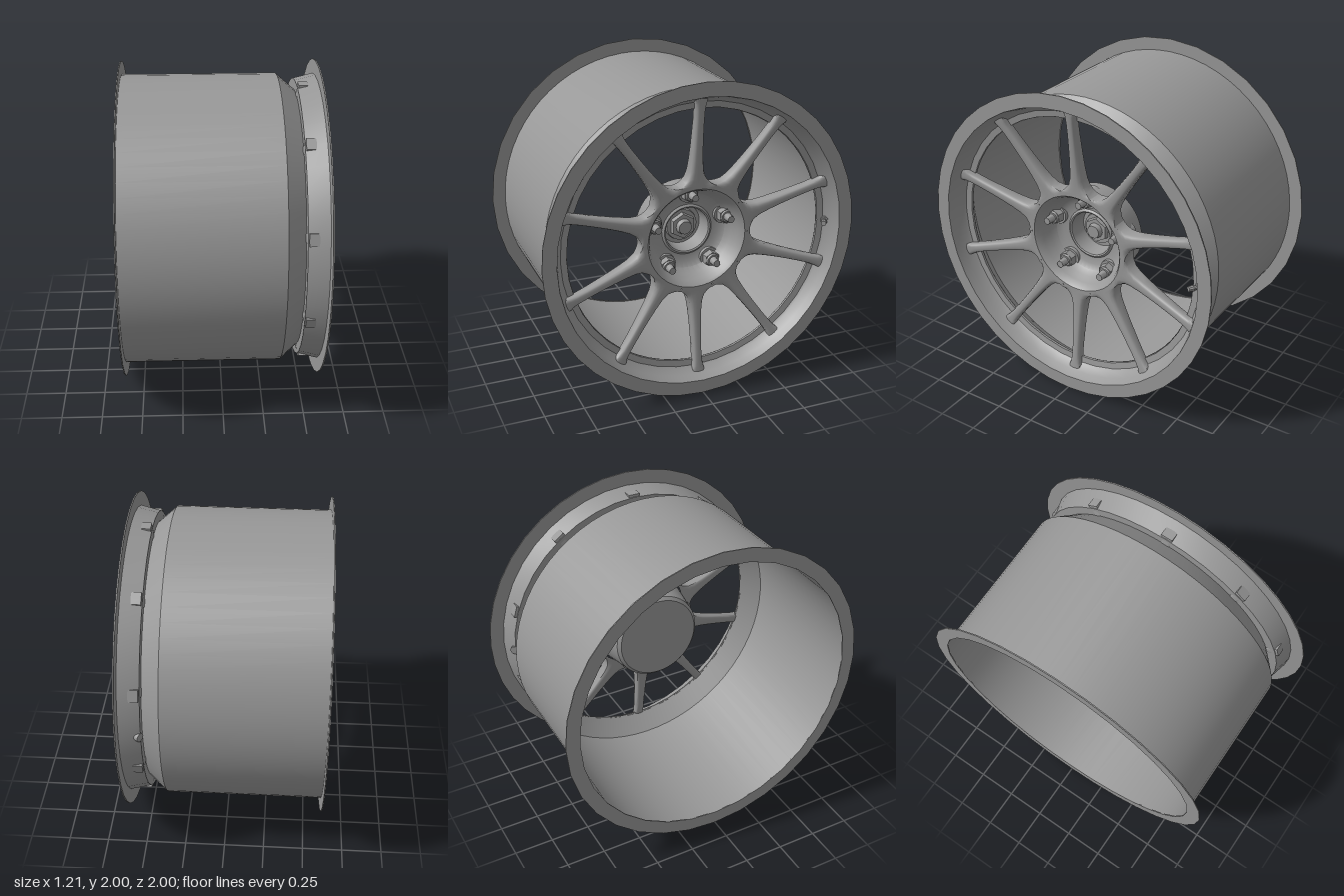
import * as THREE from 'three';
import { toCreasedNormals } from 'three/addons/utils/BufferGeometryUtils.js';

const metal = new THREE.MeshStandardMaterial({ color: 0x989898 });
const metalDouble = new THREE.MeshStandardMaterial({ color: 0x989898, side: THREE.DoubleSide });

// The wheel is built around the z axis (outer face towards +z), then turned to face +x.
function addMesh(parent, name, geometry, material = metal) {
  const mesh = new THREE.Mesh(geometry, material);
  mesh.name = name;
  parent.add(mesh);
  return mesh;
}

// Revolve [radius, z] pairs around the z axis
function revolve(profile, segments) {
  const g = new THREE.LatheGeometry(profile.map(([r, z]) => new THREE.Vector2(r, z)), segments);
  return toCreasedNormals(g.rotateX(Math.PI / 2), 0.5);
}

// Cylinder along z between two depths
function post(r0, r1, z0, z1, sides) {
  const g = new THREE.CylinderGeometry(r1, r0, z1 - z0, sides);
  return toCreasedNormals(g.rotateX(Math.PI / 2).translate(0, 0, (z0 + z1) / 2), 0.6);
}

// One spoke along +x with its tenth of the hub plate, lofted from rounded cross-sections
function spokeGeometry() {
  const stations = [ // distance along the spoke, half width, edge rounding
    [0.318, 0.1033, 0], [0.3348, 0.1088, 0], [0.3438, 0.0907, 0.008], [0.36, 0.075, 0.014],
    [0.385, 0.055, 0.018], [0.43, 0.042, 0.02], [0.5, 0.035, 0.02], [0.58, 0.031, 0.02],
    [0.66, 0.029, 0.02], [0.74, 0.028, 0.02], [0.81, 0.029, 0.018], [0.85, 0.032, 0.012],
    [0.87, 0.037, 0.008], [0.896, 0.038, 0.006], [0.896, 0, 0.006],
  ];
  const across = [-1, -0.8, -0.45, 0, 0.45, 0.8, 1];
  const drop = (u) => Math.abs(u) ** 6;
  const positions = [], index = [];
  for (const [r, h, round] of stations) {
    const put = (u, front) => {
      // Thick and sunken at the hub, thin and proud at the rim
      const t = (Math.hypot(r, u * h) - 0.32) / 0.56;
      const z = front
        ? 0.485 + 0.05 * Math.max(t, 0) ** 1.5 - round * drop(u)
        : 0.38 + 0.095 * t + 0.4 * round * drop(u);
      positions.push(r, u * h, z);
    };
    across.forEach((u) => put(u, true));
    across.forEach((u) => put(-u, false));
  }
  const n = across.length * 2;
  for (let j = 0; j < stations.length - 1; j++) {
    for (let i = 0; i < n; i++) {
      const a = j * n + i, b = j * n + (i + 1) % n;
      index.push(a, a + n, b, b, a + n, b + n);
    }
  }
  const g = new THREE.BufferGeometry();
  g.setAttribute('position', new THREE.Float32BufferAttribute(positions, 3));
  g.setIndex(index);
  return toCreasedNormals(g, 0.9);
}

// Washer, hex nut and stud tip
function lugNut() {
  const lug = new THREE.Group();
  lug.name = 'lugNut';
  addMesh(lug, 'lugWasher', post(0.068, 0.064, 0.28, 0.345, 20));
  addMesh(lug, 'lugHex', post(0.053, 0.05, 0.345, 0.39, 6));
  addMesh(lug, 'lugCollar', post(0.042, 0.036, 0.39, 0.4, 14));
  addMesh(lug, 'lugStud', post(0.026, 0.022, 0.4, 0.455, 12));
  return lug;
}

export function createModel() {
  const model = new THREE.Group();
  model.name = 'wheelRim';
  const wheel = new THREE.Group();
  wheel.name = 'wheel';
  wheel.rotation.y = Math.PI / 2;
  wheel.position.y = 1;
  model.add(wheel);

  // Barrel shell with its tapered outer end, open at the back
  addMesh(wheel, 'barrel', revolve(
    [[0.915, -0.605], [0.915, 0.36], [0.815, 0.475]], 64), metalDouble);
  addMesh(wheel, 'backFlange', revolve(
    [[0.911, -0.607], [1, -0.607], [1, -0.6], [0.911, -0.6], [0.911, -0.607]], 32), metalDouble);

  // Outer lip: flat flange, stepped inner wall and sloped outer wall
  addMesh(wheel, 'frontLip', revolve([
    [0.82, 0.47], [0.88, 0.472], [0.91, 0.597], [1, 0.597], [1, 0.605],
    [0.912, 0.605], [0.895, 0.55], [0.872, 0.505], [0.86, 0.492], [0.82, 0.486], [0.82, 0.47],
  ], 40), metalDouble);

  // Ten spokes
  const spoke = spokeGeometry();
  for (let k = 0; k < 10; k++) {
    addMesh(wheel, 'spoke', spoke).rotation.z = Math.PI * (0.1 + k / 5);
  }

  // Hub with a soft bowl and a deep centre well
  addMesh(wheel, 'hub', revolve([
    [0, 0.17], [0.27, 0.17], [0.29, 0.19], [0.325, 0.39], [0.334, 0.483], [0.318, 0.483],
    [0.305, 0.468], [0.29, 0.435], [0.27, 0.385], [0.245, 0.345], [0.21, 0.325], [0.165, 0.32],
    [0.152, 0.33], [0.143, 0.325], [0.13, 0.215], [0, 0.215],
  ], 48));

  // Centre nut
  addMesh(wheel, 'centreWasher', post(0.105, 0.1, 0.21, 0.24, 24));
  addMesh(wheel, 'centreNut', post(0.085, 0.08, 0.24, 0.27, 6));
  addMesh(wheel, 'centreStud', post(0.05, 0.042, 0.27, 0.3, 16));

  // Five lug nuts
  for (let k = 0; k < 5; k++) {
    const a = Math.PI / 2 + k * Math.PI * 0.4;
    const lug = lugNut();
    lug.position.set(0.25 * Math.cos(a), 0.25 * Math.sin(a), 0);
    wheel.add(lug);
  }

  // Valve stem, leaning in from the lip
  const valve = new THREE.Group();
  valve.name = 'valve';
  valve.position.set(0.87, 0, 0.495);
  valve.rotation.y = -0.6;
  addMesh(valve, 'valveBase', post(0.028, 0.024, -0.025, 0.02, 12));
  addMesh(valve, 'valveStem', post(0.015, 0.014, 0.02, 0.045, 10));
  addMesh(valve, 'valveCap', post(0.02, 0.016, 0.045, 0.075, 10));
  wheel.add(valve);

  return model;
}
